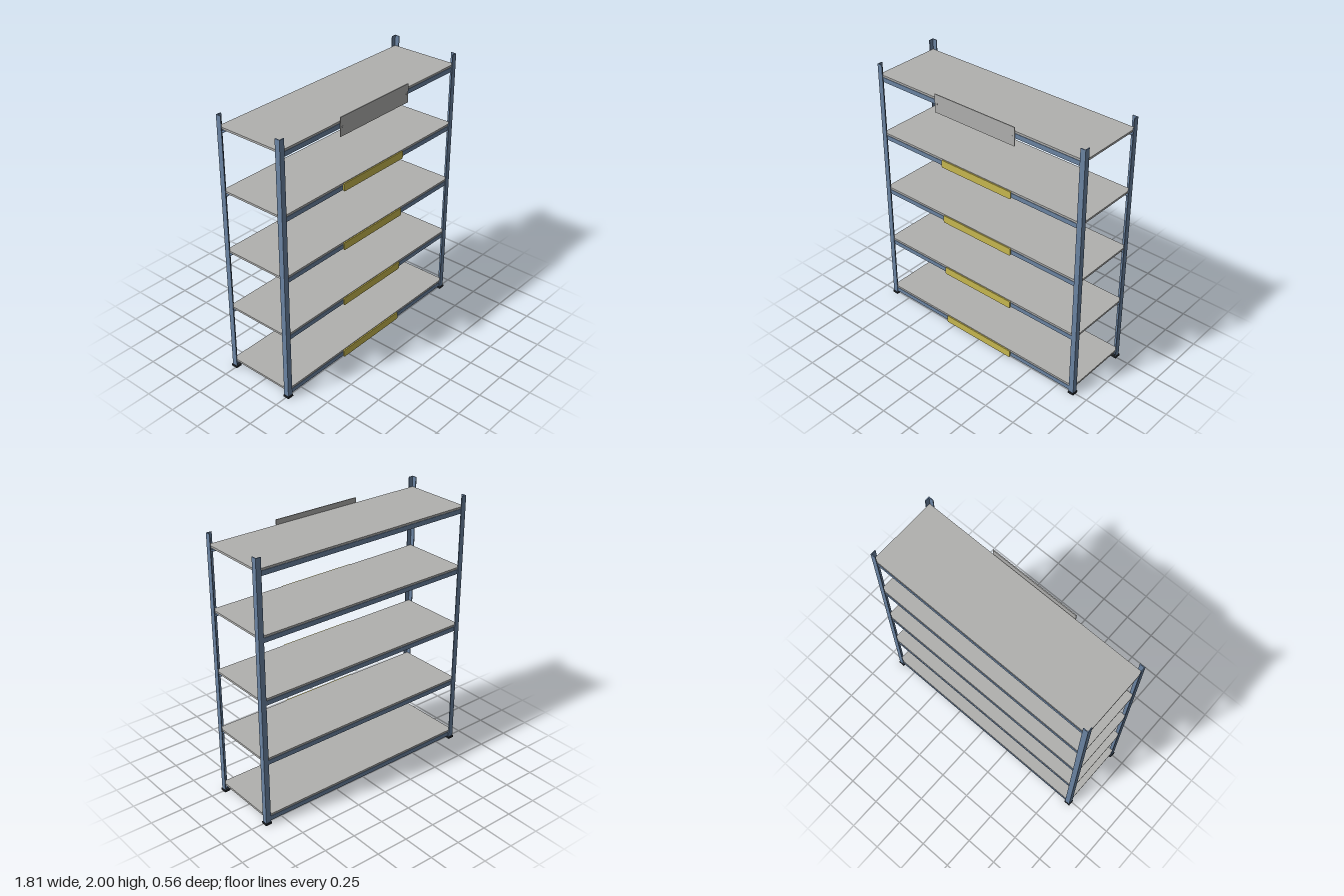
import * as THREE from 'three';

const mat = (name, color) => {
  const m = new THREE.MeshStandardMaterial({ color });
  m.name = name;
  return m;
};

export function createModel() {
  const blue = mat('blue steel', 0x6b84a3);
  const grey = mat('grey board', 0xb0b0ae);
  const yellow = mat('yellow label', 0xc8b850);
  const dark = mat('dark plastic', 0x22262b);

  const model = new THREE.Group();
  model.name = 'shelvingUnit';
  const rack = new THREE.Group();
  rack.name = 'rack';
  rack.position.z = -0.005;
  model.add(rack);

  const add = (name, geometry, material, x = 0, y = 0, z = 0) => {
    const mesh = new THREE.Mesh(geometry, material);
    mesh.name = name;
    mesh.position.set(x, y, z);
    rack.add(mesh);
    return mesh;
  };
  const box = (name, material, w, h, d, x, y, z) =>
    add(name, new THREE.BoxGeometry(w, h, d), material, x, y, z);
  const polygon = (points) => new THREE.Shape(points.map(([x, y]) => new THREE.Vector2(x, y)));
  const extrude = (shape, depth) =>
    new THREE.ExtrudeGeometry(shape, { depth, bevelEnabled: false, curveSegments: 4 });

  const halfX = 0.898, halfZ = 0.275; // outer corners of the posts
  const leg = 0.04, wall = 0.006;

  // Corner posts: upright angle sections on small feet
  for (const sx of [-1, 1]) {
    for (const sz of [-1, 1]) {
      const angle = polygon([
        [0, 0], [leg, 0], [leg, wall], [wall, wall], [wall, leg], [0, leg],
      ].map(([a, b]) => [sx * (halfX - a), -sz * (halfZ - b)]));
      const post = extrude(angle, 1.99);
      post.rotateX(-Math.PI / 2);
      add('cornerPost', post, blue, 0, 0.01, 0);
      box('foot', dark, 0.048, 0.016, 0.048, sx * (halfX - 0.019), 0.008, sz * (halfZ - 0.019));
    }
  }

  // Channel section of the shelf beams, open towards the inside
  const face = halfZ - wall;
  const channel = polygon([
    [0, -0.05], [0.024, -0.05], [0.024, -0.046], [0.004, -0.046],
    [0.004, -0.022], [0.024, -0.022], [0.024, -0.016], [0, -0.016],
  ]);
  const beam = extrude(channel, 1.78);
  beam.translate(0, 0, -0.89);
  beam.rotateY(Math.PI / 2);

  // Rounded label plate
  const label = new THREE.Shape();
  const w = 0.312, h = 0.029, r = 0.01;
  label.moveTo(-w + r, -h);
  label.lineTo(w - r, -h);
  label.quadraticCurveTo(w, -h, w, -h + r);
  label.lineTo(w, h - r);
  label.quadraticCurveTo(w, h, w - r, h);
  label.lineTo(-w + r, h);
  label.quadraticCurveTo(-w, h, -w, h - r);
  label.lineTo(-w, -h + r);
  label.quadraticCurveTo(-w, -h, -w + r, -h);
  const labelPlate = extrude(label, 0.009);

  // Five shelves, each a board on two beams
  for (let i = 0; i < 5; i++) {
    const top = 0.073 + i * 0.462;
    box('shelfBoard', grey, 1.784, 0.015, 2 * face - 0.004, 0, top - 0.0075, 0);
    add('frontBeam', beam, blue, 0, top, face).rotation.y = Math.PI;
    add('backBeam', beam, blue, 0, top, -face);
    if (i < 4) add('labelPlate', labelPlate, yellow, 0, top - 0.032, face);
  }

  // Channel runs from z = 0 towards -z after rotation, so turn each beam inwards
  rack.children.forEach((part) => {
    if (part.name === 'frontBeam') part.rotation.y = 0;
    if (part.name === 'backBeam') part.rotation.y = Math.PI;
  });

  // Sign on the top beam with a bolt at each end
  box('signPlate', grey, 0.696, 0.138, 0.007, -0.003, 1.886, face + 0.0085);
  for (const x of [-0.332, 0.326]) {
    const bolt = new THREE.CylinderGeometry(0.006, 0.006, 0.016, 12);
    bolt.rotateX(Math.PI / 2);
    add('signBolt', bolt, grey, x, 1.885, face + 0.007);
  }

  return model;
}
